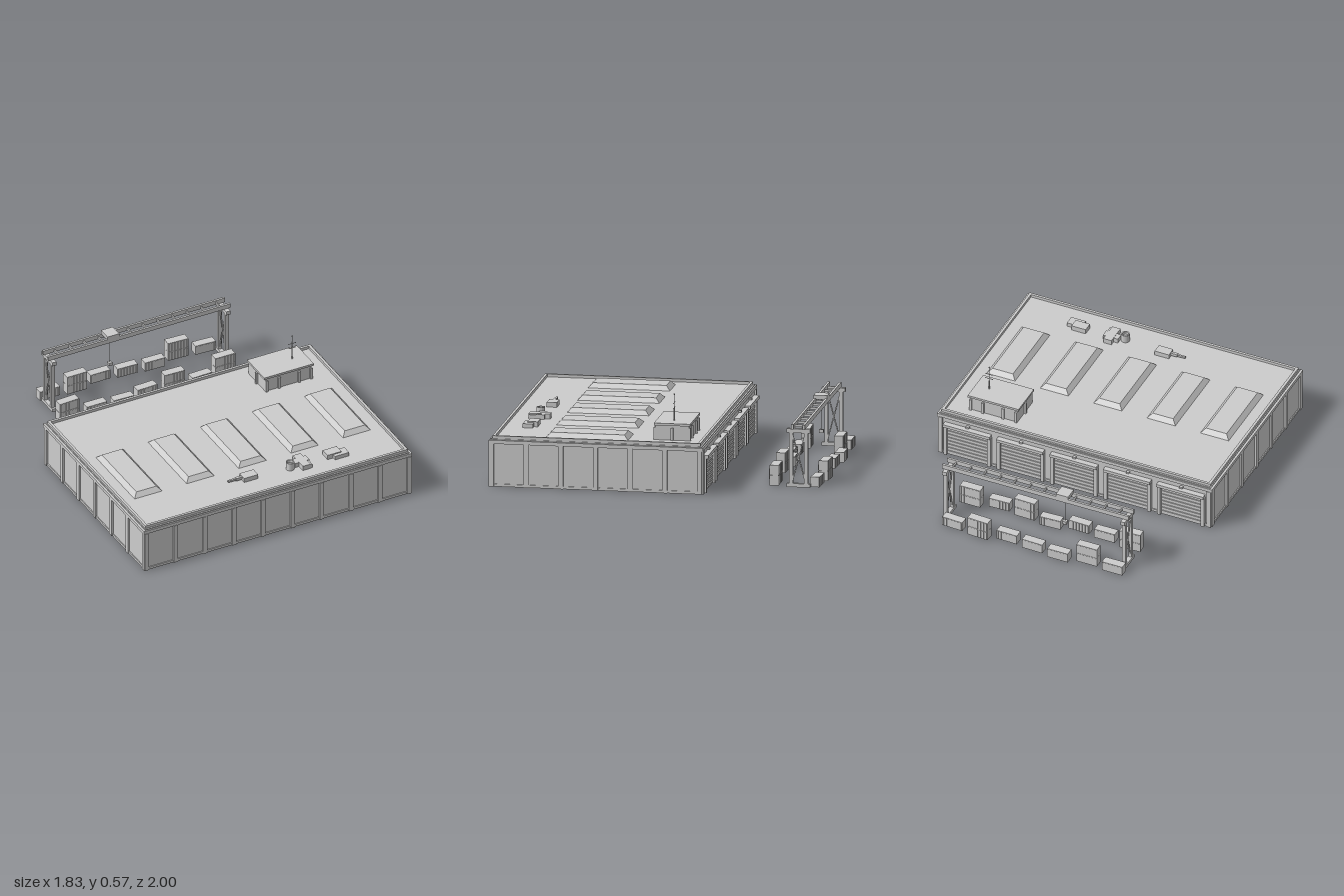
import * as THREE from 'three';

const grey = new THREE.MeshStandardMaterial({ color: 0xcccccc });
grey.name = 'concrete grey';

function add(parent, name, geometry, x = 0, y = 0, z = 0) {
  const m = new THREE.Mesh(geometry, grey);
  m.name = name;
  m.position.set(x, y, z);
  parent.add(m);
  return m;
}

// Box given by its extents on each axis
function box(parent, name, x0, x1, y0, y1, z0, z1) {
  return add(parent, name, new THREE.BoxGeometry(x1 - x0, y1 - y0, z1 - z0),
    (x0 + x1) / 2, (y0 + y1) / 2, (z0 + z1) / 2);
}

// Square bar between two points
function bar(parent, name, a, b, t) {
  const p = new THREE.Vector3(...a), q = new THREE.Vector3(...b);
  const m = add(parent, name, new THREE.BoxGeometry(t, p.distanceTo(q), t));
  m.position.copy(p).add(q).multiplyScalar(0.5);
  m.quaternion.setFromUnitVectors(new THREE.Vector3(0, 1, 0), q.sub(p).normalize());
  return m;
}

function group(parent, name) {
  const g = new THREE.Group();
  g.name = name;
  parent.add(g);
  return g;
}

// Rectangular ring extruded upward
function ring(parent, name, w, d, t, y0, y1, z) {
  const rect = (C, a, b) => new C([[-a, -b], [a, -b], [a, b], [-a, b]].map(p => new THREE.Vector2(...p)));
  const s = rect(THREE.Shape, w, d);
  s.holes.push(rect(THREE.Path, w - t, d - t));
  const g = new THREE.ExtrudeGeometry(s, { depth: y1 - y0, bevelEnabled: false }).rotateX(-Math.PI / 2);
  return add(parent, name, g, 0, y0, z);
}

// Box whose top face is drawn in
function hippedBox(w, h, d, inset) {
  const g = new THREE.BoxGeometry(w, h, d);
  const p = g.attributes.position;
  for (let i = 0; i < p.count; i++) {
    if (p.getY(i) > 0) {
      p.setX(i, p.getX(i) - Math.sign(p.getX(i)) * inset);
      p.setZ(i, p.getZ(i) - Math.sign(p.getZ(i)) * inset);
    }
  }
  g.computeVertexNormals();
  return g;
}

function buildHall(root) {
  const hall = group(root, 'hall');
  const zc = 0.34;
  box(hall, 'walls', -0.9, 0.9, 0, 0.293, -0.308, 0.988);
  ring(hall, 'plinth', 0.906, 0.654, 0.02, 0, 0.016, zc);
  ring(hall, 'cornice', 0.914, 0.657, 0.03, 0.265, 0.287, zc);
  ring(hall, 'parapet', 0.894, 0.638, 0.016, 0.287, 0.311, zc);

  // Wall piers
  for (let i = 0; i < 10; i++) {
    const x = -0.895 + i * 0.1989;
    box(hall, 'frontPier', x - 0.014, x + 0.014, 0, 0.266, 0.98, 1);
  }
  for (const s of [-1, 1]) {
    for (let i = 0; i < 7; i++) {
      const z = 0.982 - i * 0.2128;
      const m = box(hall, 'sidePier', 0.89, 0.912, 0, 0.266, z - 0.015, z + 0.015);
      m.position.x *= s;
    }
    box(hall, 'backPier', s * 0.893 - 0.014, s * 0.893 + 0.014, 0, 0.266, -0.32, -0.3);
  }

  // Skylights
  for (let i = -2; i <= 2; i++) {
    add(hall, 'skylight', hippedBox(0.192, 0.03, 0.507, 0.028), i * 0.355, 0.306, 0.414);
  }
}

function buildDock(root, x) {
  const dock = group(root, 'loadingDock');
  dock.position.x = x;
  box(dock, 'doorPanel', -0.135, 0.135, 0, 0.21, -0.314, -0.3);
  for (let i = 0; i < 8; i++) {
    const y = 0.014 + i * 0.025;
    box(dock, 'doorSlat', -0.13, 0.13, y, y + 0.015, -0.32, -0.312);
  }
  for (const s of [-1, 1]) {
    box(dock, 'doorPost', s * 0.145 - 0.011, s * 0.145 + 0.011, 0, 0.215, -0.33, -0.305);
  }
  box(dock, 'canopy', -0.155, 0.155, 0.213, 0.233, -0.342, -0.305);
  box(dock, 'lamp', -0.01, 0.01, 0.238, 0.249, -0.325, -0.305);
}

function buildRoofHouse(root) {
  const house = group(root, 'roofHouse');
  box(house, 'houseWalls', 0.432, 0.748, 0.29, 0.386, -0.202, 0.004);
  box(house, 'houseRoof', 0.421, 0.759, 0.384, 0.398, -0.211, 0.012);
  for (const x of [0.44, 0.525, 0.66, 0.742]) {
    for (const z of [-0.206, 0.008]) {
      box(house, 'housePier', x - 0.008, x + 0.008, 0.29, 0.37, z - 0.007, z + 0.007);
    }
  }
  for (const x of [0.427, 0.753]) {
    box(house, 'sidePier', x - 0.008, x + 0.008, 0.29, 0.37, -0.107, -0.091);
  }

  const mast = group(house, 'antenna');
  mast.position.set(0.668, 0.398, -0.097);
  add(mast, 'pole', new THREE.CylinderGeometry(0.002, 0.004, 0.162, 8), 0, 0.081, 0);
  add(mast, 'tip', new THREE.SphereGeometry(0.005, 8, 6), 0, 0.163, 0);
  for (const y of [0.078, 0.11]) box(mast, 'crossbar', -0.026, 0.026, y - 0.0015, y + 0.0015, -0.0015, 0.0015);
}

function buildRoofUnits(root) {
  const units = group(root, 'roofEquipment');
  // Fan box with long duct
  box(units, 'ductUnit', -0.135, -0.04, 0.29, 0.322, 0.752, 0.815);
  bar(units, 'duct', [-0.23, 0.312, 0.784], [-0.13, 0.312, 0.784], 0.012);
  bar(units, 'ductEnd', [-0.18, 0.312, 0.784], [-0.14, 0.312, 0.784], 0.018);
  // Stepped plant with round stack
  box(units, 'plantCore', 0.238, 0.292, 0.29, 0.324, 0.733, 0.865);
  box(units, 'plantSide', 0.21, 0.31, 0.29, 0.322, 0.765, 0.815);
  box(units, 'plantEnd', 0.25, 0.305, 0.29, 0.318, 0.8, 0.862);
  const stack = new THREE.LatheGeometry([[0.026, 0], [0.026, 0.053], [0.019, 0.053], [0.019, 0.035], [0, 0.035]]
    .map(p => new THREE.Vector2(...p)), 16);
  const s = add(units, 'stack', stack.toNonIndexed(), 0.18, 0.29, 0.81);
  s.geometry.computeVertexNormals();
  // Pair of overlapping coolers
  box(units, 'coolerA', 0.425, 0.52, 0.29, 0.324, 0.767, 0.83);
  box(units, 'coolerB', 0.463, 0.56, 0.29, 0.318, 0.79, 0.853);
}

function buildGantry(root) {
  const crane = group(root, 'gantryCrane');
  const zc = -0.847;
  for (const x of [-0.597, 0.588]) {
    const leg = group(crane, 'craneLegFrame');
    leg.position.set(x, 0, zc);
    box(leg, 'baseBeam', -0.014, 0.014, 0, 0.022, -0.072, 0.072);
    box(leg, 'topBeam', -0.014, 0.014, 0.335, 0.36, -0.072, 0.072);
    for (const s of [-1, 1]) {
      box(leg, 'leg', -0.011, 0.011, 0.02, 0.337, s * 0.046 - 0.011, s * 0.046 + 0.011);
      bar(leg, 'brace', [0, 0.025, -s * 0.042], [0, 0.335, s * 0.042], 0.007);
    }
  }
  for (const s of [-1, 1]) {
    const z = zc + s * 0.035;
    box(crane, 'girder', -0.622, 0.617, 0.36, 0.389, z - 0.007, z + 0.007);
  }
  for (let i = 0; i < 12; i++) {
    const x = -0.545 + i * 0.1;
    box(crane, 'crossTie', x - 0.004, x + 0.004, 0.364, 0.378, zc - 0.03, zc + 0.03);
  }
  box(crane, 'trolley', -0.22, -0.14, 0.382, 0.408, zc - 0.042, zc + 0.042);
  add(crane, 'cable', new THREE.CylinderGeometry(0.0016, 0.0016, 0.2, 6), -0.182, 0.285, zc);
  box(crane, 'hookBlock', -0.195, -0.169, 0.17, 0.19, zc - 0.013, zc + 0.013);
}

function buildContainer(root, x, y, z, turn) {
  const c = group(root, 'container');
  c.position.set(x, y, z);
  c.rotation.y = turn;
  box(c, 'containerBody', -0.068, 0.068, 0, 0.062, -0.027, 0.027);
  for (let i = 0; i < 7; i++) {
    const rx = -0.06 + i * 0.02;
    box(c, 'containerRib', rx - 0.004, rx + 0.004, 0.003, 0.059, -0.03, 0.03);
  }
}

export function createModel() {
  const root = new THREE.Group();
  root.name = 'dockWarehouse';
  buildHall(root);
  for (let i = -2; i <= 2; i++) buildDock(root, i * 0.355);
  buildRoofHouse(root);
  buildRoofUnits(root);
  buildGantry(root);

  // Two container rows, some stacked two high
  const rows = [
    { z: [-0.947, -0.93, -0.966], stacked: [1, 5], turn: [0, 0, 0, -0.03, -0.02, -0.05, -0.05] },
    { z: [-0.693, -0.672, -0.656], stacked: [0, 4, 6], turn: [0.05, 0, -0.03, 0.04, -0.03, 0.03, 0] },
  ];
  for (const row of rows) {
    for (let i = 0; i < 7; i++) {
      const x = -0.552 + i * 0.177, z = row.z[i % 3];
      buildContainer(root, x, 0, z, row.turn[i]);
      if (row.stacked.includes(i)) buildContainer(root, x, 0.063, z, row.turn[i]);
    }
  }
  return root;
}
